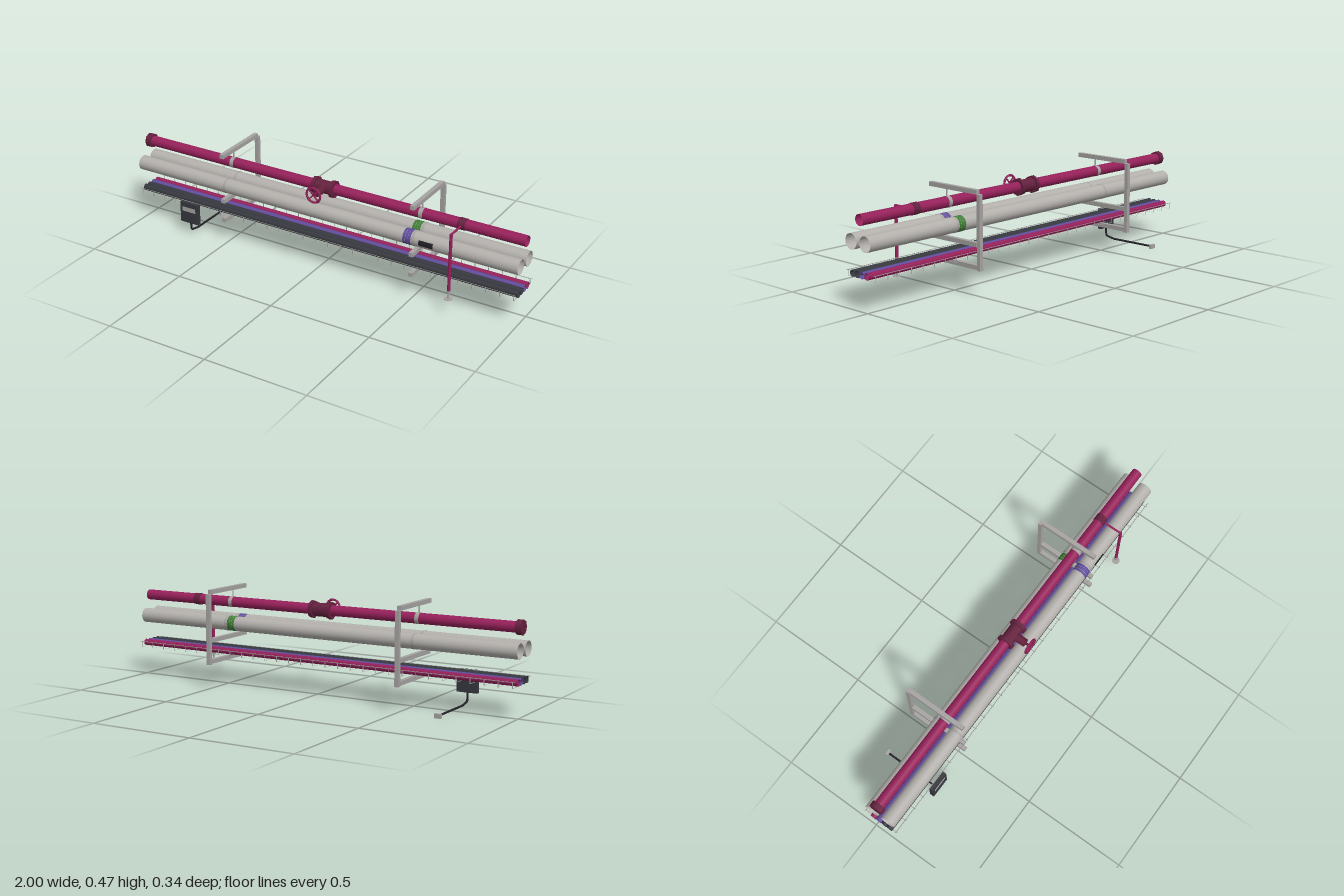
import * as THREE from 'three';

const mat = (name, color) => {
  const m = new THREE.MeshStandardMaterial({ color, side: THREE.DoubleSide });
  m.name = name;
  return m;
};

export function createModel() {
  const root = new THREE.Group();
  const red = mat('crimson paint', 0x96205a);
  const maroon = mat('maroon fittings', 0x65203e);
  const white = mat('pale pipe', 0xb3b0ac);
  const steel = mat('bracket steel', 0xa6a3a1);
  const dark = mat('dark grey', 0x36383f);
  const purple = mat('purple', 0x604c9a);
  const green = mat('green', 0x3f7d35);
  const black = mat('black', 0x222228);

  const add = (name, geo, material, x = 0, y = 0, z = 0, parent = root) => {
    const m = new THREE.Mesh(geo, material);
    m.name = name;
    m.position.set(x, y, z);
    parent.add(m);
    return m;
  };
  const box = (name, material, w, h, d, x, y, z, parent) =>
    add(name, new THREE.BoxGeometry(w, h, d), material, x, y, z, parent);
  // Cylinder lying along x, y or z
  const cyl = (name, material, axis, r, len, x, y, z, sides = 16, open = false, parent = root) => {
    const g = new THREE.CylinderGeometry(r, r, len, sides, 1, open);
    if (axis === 'x') g.rotateZ(Math.PI / 2);
    if (axis === 'z') g.rotateX(Math.PI / 2);
    return add(name, g, material, x, y, z, parent);
  };

  // Main pipes, open at the ends
  const redY = 0.392, redZ = 0.038, pipeY = 0.293;
  const pipeZ = [0.094, 0.007];
  cyl('redPipe', red, 'x', 0.025, 2, 0, redY, redZ, 16, true);
  pipeZ.forEach(z => cyl('palePipe', white, 'x', 0.035, 2, 0, pipeY, z, 24, true));
  cyl('endCap', maroon, 'x', 0.034, 0.028, -0.986, redY, redZ, 8);

  // Colour bands and label on the pale pipes
  for (let i = 0; i < 3; i++) {
    const x = 0.457 + i * 0.0135;
    cyl('purpleBand', purple, 'x', 0.0358, 0.0125, x, pipeY, pipeZ[0], 24, true);
    cyl('greenBand', green, 'x', 0.0358, 0.0125, x, pipeY, pipeZ[1], 24, true);
  }
  const labelGeo = new THREE.CylinderGeometry(0.036, 0.036, 0.07, 6, 1, true, -0.38, 0.76);
  labelGeo.rotateZ(Math.PI / 2);
  add('pipeLabel', labelGeo, black, 0.565, pipeY, pipeZ[0]);

  // Two wall brackets with hangers and clamp bands
  for (const x of [-0.5, 0.5]) {
    const g = new THREE.Group();
    g.name = 'bracket';
    g.position.x = x;
    root.add(g);
    box('post', steel, 0.02, 0.335, 0.018, 0, 0.2835, -0.16, g);
    for (const y of [0.46, 0.23, 0.13]) box('arm', steel, 0.02, 0.02, 0.29, 0, y, -0.005, g);
    cyl('hangerRod', steel, 'y', 0.003, 0.035, 0, 0.434, 0.04, 8, false, g);
    cyl('hangerRing', steel, 'x', 0.0265, 0.02, 0, redY, redZ, 16, true, g);
    pipeZ.forEach(z => cyl('pipeClamp', steel, 'x', 0.0362, 0.012, 0, pipeY, z, 24, true, g));
  }

  // Cable run
  [[red, 0], [purple, 0.03], [dark, 0.06], [dark, 0.09]].forEach(([m, z]) =>
    cyl('cable', m, 'x', 0.0155, 2, 0, 0.158, z, 12, true));

  // Basket tray of flat ribbons: a rail on each side, U-shaped hoops between
  const trayZ = [-0.045, 0.125], base = 0.1395, top = 0.167;
  for (const z of trayZ) cyl('trayRail', steel, 'x', 0.0016, 2, 0, top, z, 4, true);
  for (let i = 0; i <= 30; i++) {
    const x = -0.99 + i * 0.066;
    const rung = new THREE.PlaneGeometry(0.004, trayZ[1] - trayZ[0]);
    rung.rotateX(-Math.PI / 2);
    add('trayRung', rung, steel, x, base, 0.04);
    for (const z of trayZ)
      add('trayUpright', new THREE.PlaneGeometry(0.004, top - base), steel, x, (top + base) / 2, z);
  }

  // Gate valve with handwheel
  const valve = new THREE.Group();
  valve.name = 'valve';
  valve.position.set(0, 0.391, redZ);
  root.add(valve);
  cyl('valveBody', maroon, 'x', 0.032, 0.08, 0, 0, 0, 8, false, valve);
  for (const s of [-1, 1]) cyl('flange', maroon, 'x', 0.041, 0.018, s * 0.047, 0, 0, 8, false, valve);
  cyl('bonnet', maroon, 'z', 0.02, 0.055, 0, 0, 0.047, 8, false, valve);
  cyl('stem', maroon, 'z', 0.006, 0.035, 0, 0, 0.085, 8, false, valve);
  add('handwheel', new THREE.TorusGeometry(0.036, 0.0055, 6, 16), red, 0, 0, 0.1, valve);
  for (let i = 0; i < 2; i++) {
    const spoke = box('spoke', red, 0.07, 0.006, 0.005, 0, 0, 0.1, valve);
    spoke.rotation.z = Math.PI / 4 + i * Math.PI / 2;
  }

  // Sprinkler drop
  const dx = 0.697;
  cyl('tee', maroon, 'x', 0.028, 0.036, dx, redY, redZ, 8);
  cyl('dropArm', red, 'z', 0.005, 0.1, dx, 0.391, 0.105, 8);
  cyl('dropPipe', red, 'y', 0.0075, 0.278, dx, 0.254, 0.152, 8);
  cyl('sprinklerCollar', steel, 'y', 0.01, 0.014, dx, 0.109, 0.152, 8);
  cyl('sprinklerStem', steel, 'y', 0.003, 0.028, dx, 0.089, 0.152, 6);
  cyl('sprinklerPlate', steel, 'y', 0.019, 0.002, dx, 0.076, 0.153, 12);

  // Control box with front panel, power lead and plug
  const bx = -0.7;
  box('controlBox', dark, 0.1, 0.104, 0.021, bx, 0.114, 0.1335);
  box('frontPanel', steel, 0.074, 0.022, 0.002, bx, 0.132, 0.1445);
  const lead = new THREE.CurvePath();
  const pts = [[0.064, 0.133], [0.021, 0.129], [0.011, 0.08], [0.011, -0.156]]
    .map(([y, z]) => new THREE.Vector3(bx, y, z));
  for (let i = 0; i < 3; i++) lead.add(new THREE.LineCurve3(pts[i], pts[i + 1]));
  add('powerLead', new THREE.TubeGeometry(lead, 48, 0.005, 8), black);
  box('plug', steel, 0.03, 0.02, 0.014, bx, 0.011, -0.162);

  return root;
}
